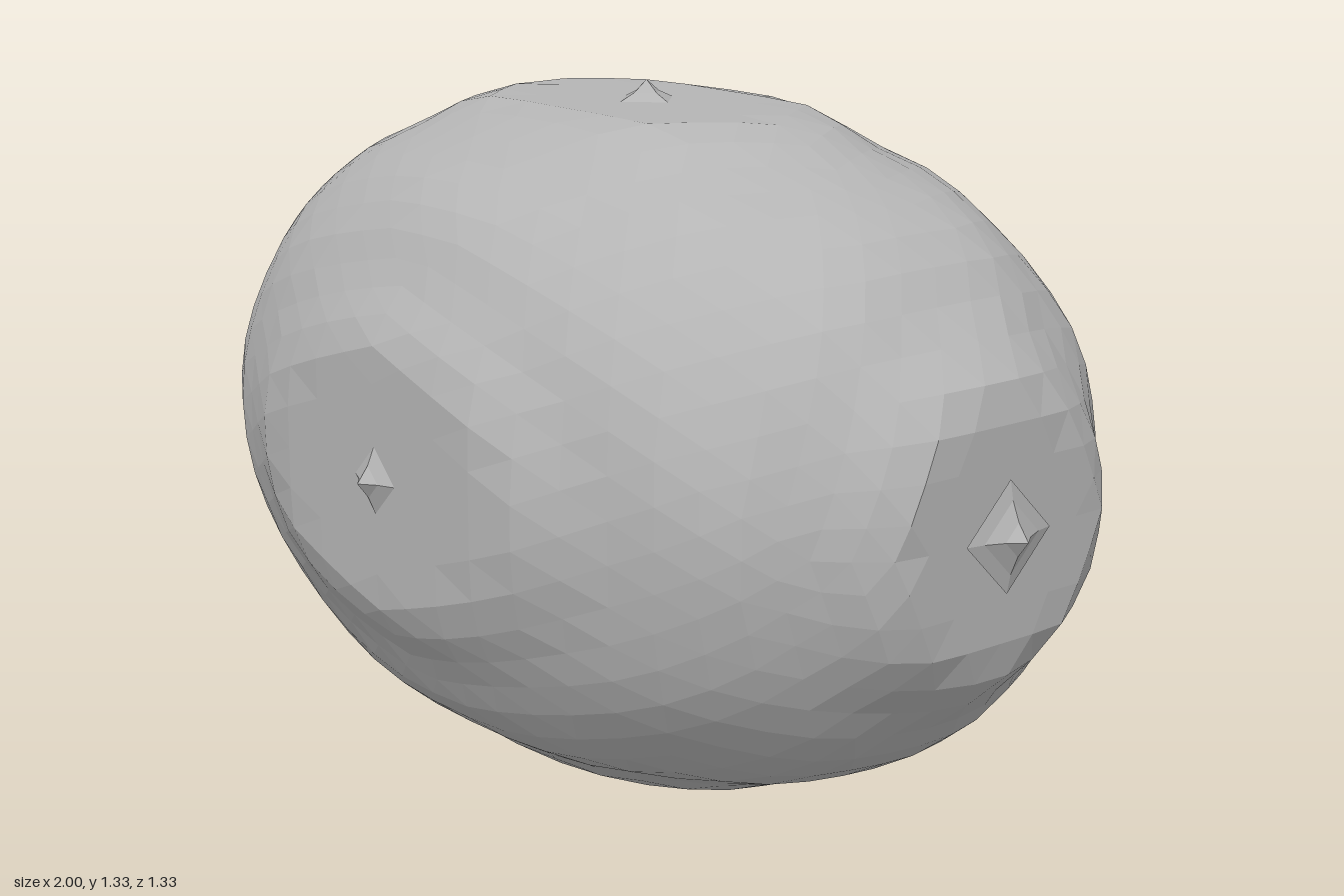
import * as THREE from 'three';

const R = 0.667;      // half height; the length is 1.5 times this
const CAP = 0.63;     // distance of the six flat plateaus from the centre

// Rounded rock radius: six plateaus, a shallow dent ring round each, gentle bumps
function rockRadius(d) {
  const m = Math.max(Math.abs(d.x), Math.abs(d.y), Math.abs(d.z));
  const angle = Math.acos(Math.min(1, m));
  const dent = 0.014 * Math.exp(-(((angle - 0.57) / 0.11) ** 2));
  const bump = 0.005 * Math.sin(9 * d.x + 2 * d.y) * Math.sin(8 * d.y + 3 * d.z) * Math.sin(10 * d.z + 1);
  return Math.min(0.674 - dent + bump, CAP / m);
}

function rockGeometry() {
  const geo = new THREE.IcosahedronGeometry(1, 10);
  const pos = geo.attributes.position;
  const d = new THREE.Vector3();
  for (let i = 0; i < pos.count; i++) {
    d.fromBufferAttribute(pos, i).normalize();
    d.multiplyScalar(rockRadius(d));
    pos.setXYZ(i, d.x, d.y, d.z);
  }
  geo.computeVertexNormals();
  return geo;
}

export function createModel() {
  const group = new THREE.Group();
  const stone = new THREE.MeshStandardMaterial({ color: 0xb4b4b4 });
  stone.flatShading = true;

  // Body, stretched along x
  const body = new THREE.Mesh(rockGeometry(), stone);
  body.name = 'rockBody';
  body.scale.x = 1.5;
  body.position.y = R;
  group.add(body);

  // Small four-sided, concave spikes in the middle of each plateau
  const profile = [[0.1, 0], [0.065, 0.007], [0.03, 0.022], [0, 0.045]].map(([r, h]) => new THREE.Vector2(r, h));
  const spikeGeo = new THREE.LatheGeometry(profile, 4);
  const up = new THREE.Vector3(0, 1, 0);
  const ends = { left: [1, 0, 0], right: [-1, 0, 0], top: [0, 1, 0], bottom: [0, -1, 0], front: [0, 0, 1], back: [0, 0, -1] };
  for (const [side, axis] of Object.entries(ends)) {
    const dir = new THREE.Vector3(...axis);
    const spike = new THREE.Mesh(spikeGeo, stone);
    spike.name = side + 'Spike';
    spike.quaternion.setFromUnitVectors(up, dir);
    const reach = axis[0] ? 1 : R;
    spike.position.copy(dir).multiplyScalar(reach - 0.045);
    spike.position.y += R;
    group.add(spike);
  }
  return group;
}
